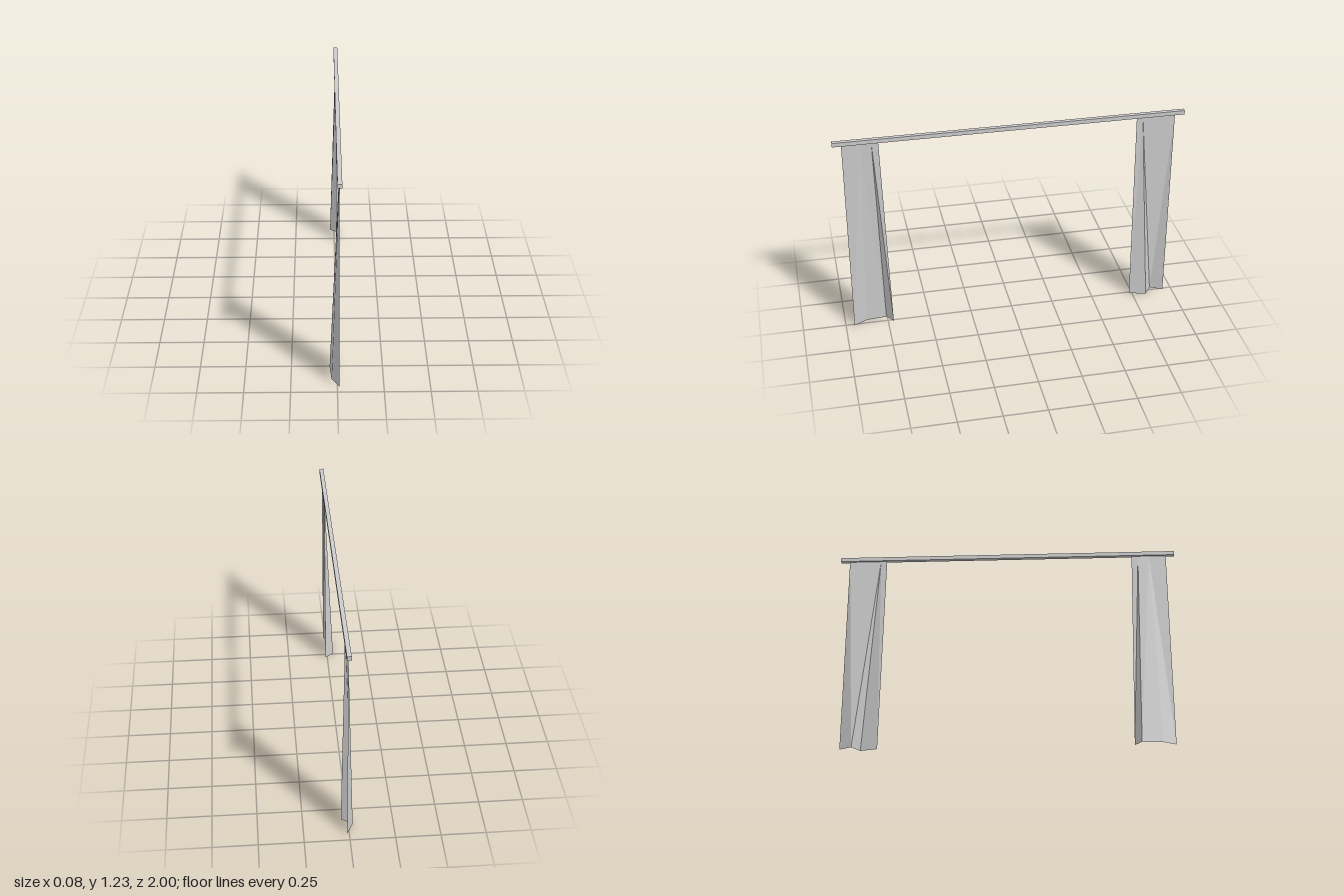
import * as THREE from 'three';

const RAIL_X = 0.011, TOP = 1.204;

// Hanging sheet: straight along the rail, opening into folds at the floor.
// Each fold is [x at floor, z at floor, z at rail]; diagonals gives, per panel,
// the fold whose floor point starts the crease (0 = this one, 1 = the next).
function createCurtain(name, folds, diagonals, material) {
  const positions = [];
  const low = ([x, z]) => [x, 0, z];
  const high = ([, , z]) => [RAIL_X, TOP, z];
  diagonals.forEach((d, i) => {
    const b0 = low(folds[i]), b1 = low(folds[i + 1]);
    const t0 = high(folds[i]), t1 = high(folds[i + 1]);
    const tris = d === 0 ? [b0, b1, t1, b0, t1, t0] : [b0, b1, t0, b1, t1, t0];
    positions.push(...tris.flat());
  });
  const geometry = new THREE.BufferGeometry();
  geometry.setAttribute('position', new THREE.Float32BufferAttribute(positions, 3));
  geometry.computeVertexNormals();
  const mesh = new THREE.Mesh(geometry, material);
  mesh.name = name;
  return mesh;
}

export function createModel() {
  const group = new THREE.Group();
  group.name = 'curtains';
  const solid = new THREE.MeshStandardMaterial({ color: 0xcccccc, flatShading: true });
  const cloth = new THREE.MeshStandardMaterial({
    color: 0xcccccc, flatShading: true, side: THREE.DoubleSide,
  });

  // Square rail running front to back
  const rail = new THREE.Mesh(new THREE.BoxGeometry(0.024, 0.024, 2), solid);
  rail.name = 'rail';
  rail.position.set(RAIL_X, TOP + 0.011, 0);
  group.add(rail);

  // Front curtain, bulging to one side
  group.add(createCurtain('frontCurtain', [
    [RAIL_X, 0.95, 0.95],
    [-0.03, 0.873, 0.85],
    [-0.04, 0.755, 0.785],
    [RAIL_X, 0.717, 0.747],
  ], [0, 1, 1], cloth));

  // Back curtain, folded once each way with both creases meeting at the rail
  group.add(createCurtain('backCurtain', [
    [RAIL_X, -0.947, -0.947],
    [-0.025, -0.875, -0.758],
    [0.037, -0.832, -0.758],
    [RAIL_X, -0.733, -0.722],
  ], [1, 0, 1], cloth));

  return group;
}
